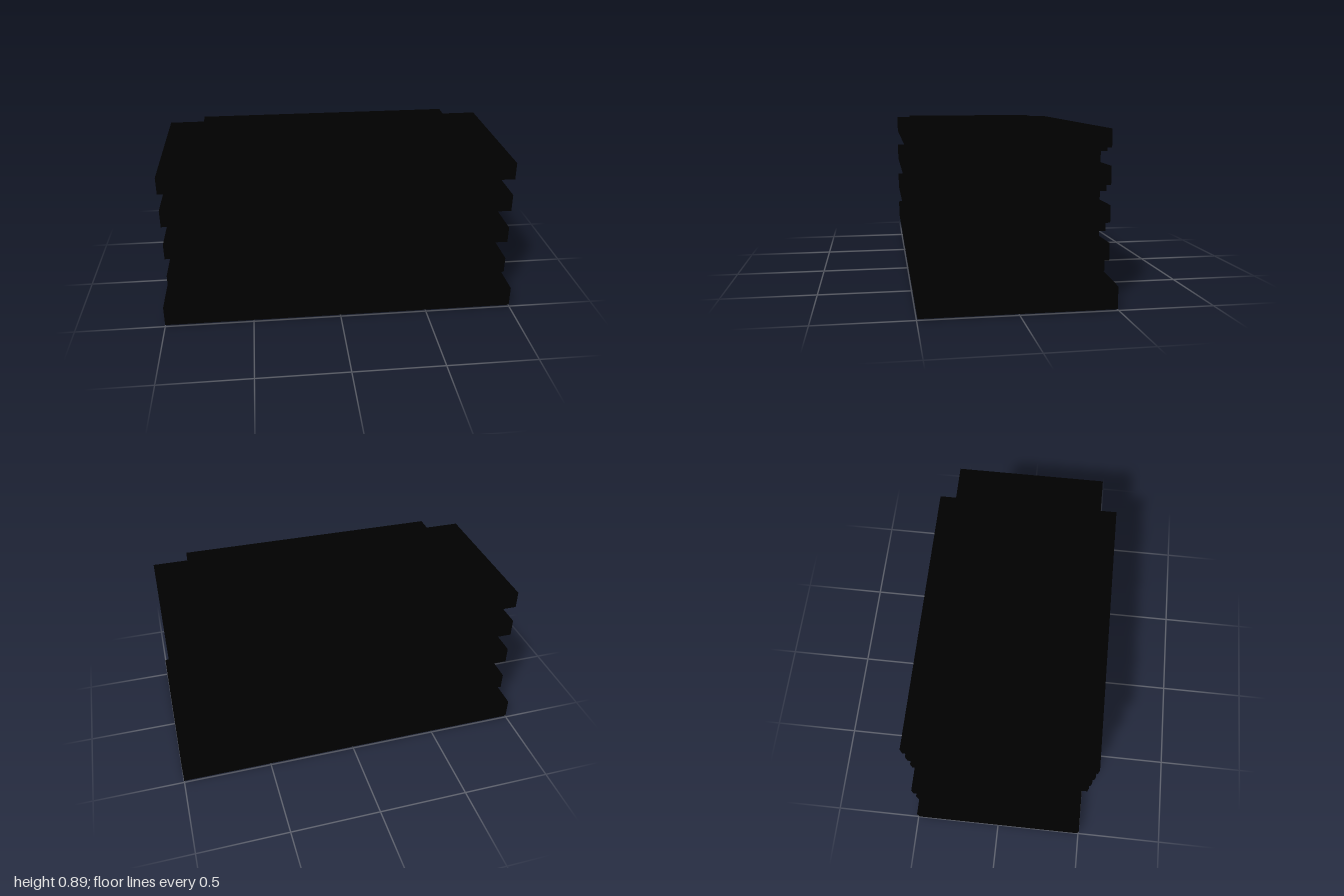
import * as THREE from 'three';

const material = new THREE.MeshStandardMaterial({ color: 0x000000 });

// Closed solid through stacked rectangles, each [y, halfWidth, halfDepth]
function loftRectangles(rings) {
  const points = [], index = [];
  for (const [y, w, d] of rings) points.push(-w, y, d, w, y, d, w, y, -d, -w, y, -d);
  for (let r = 0; r < rings.length - 1; r++) {
    for (let i = 0; i < 4; i++) {
      const a = r * 4 + i, b = r * 4 + (i + 1) % 4;
      index.push(a, b, b + 4, a, b + 4, a + 4);
    }
  }
  const t = (rings.length - 1) * 4;
  index.push(0, 2, 1, 0, 3, 2, t, t + 1, t + 2, t, t + 2, t + 3);
  const indexed = new THREE.BufferGeometry();
  indexed.setAttribute('position', new THREE.Float32BufferAttribute(points, 3));
  indexed.setIndex(index);
  const geometry = indexed.toNonIndexed();
  geometry.computeVertexNormals();
  return geometry;
}

export function createModel() {
  const model = new THREE.Group();
  model.name = 'ribbedBlock';

  function add(name, geometry, x = 0, y = 0, z = 0) {
    const mesh = new THREE.Mesh(geometry, material);
    mesh.name = name;
    mesh.position.set(x, y, z);
    model.add(mesh);
  }

  const coreX = 0.87, coreZ = 0.43, top = 0.887;

  // Plinth with sloped shoulders and a slightly eased underside
  add('base', loftRectangles([
    [0, 0.89, 0.45], [0.007, 1, 0.495], [0.123, 1, 0.495], [0.197, coreX, coreZ],
  ]));

  // Body with a shallow recessed panel in the top
  add('body', loftRectangles([
    [0.197, coreX, coreZ], [top, coreX, coreZ], [top, 0.77, coreZ], [0.873, 0.73, 0.41],
  ]));

  // Four tiers of ribs; the corners stay open between long and short ribs
  const tiers = [[0.197, 0.29], [0.398, 0.49], [0.597, 0.695], [0.791, top]];
  const ribX = 0.97, ribZ = 0.523, longHalf = 0.767;
  for (const [low, high] of tiers) {
    const h = high - low, y = (low + high) / 2;
    for (const s of [-1, 1]) {
      add(s > 0 ? 'frontRib' : 'backRib',
        new THREE.BoxGeometry(longHalf * 2, h, ribZ - coreZ), 0, y, s * (coreZ + ribZ) / 2);
      add(s > 0 ? 'leftRib' : 'rightRib',
        new THREE.BoxGeometry(ribX - coreX, h, coreZ * 2), s * (coreX + ribX) / 2, y, 0);
    }
  }
  return model;
}
